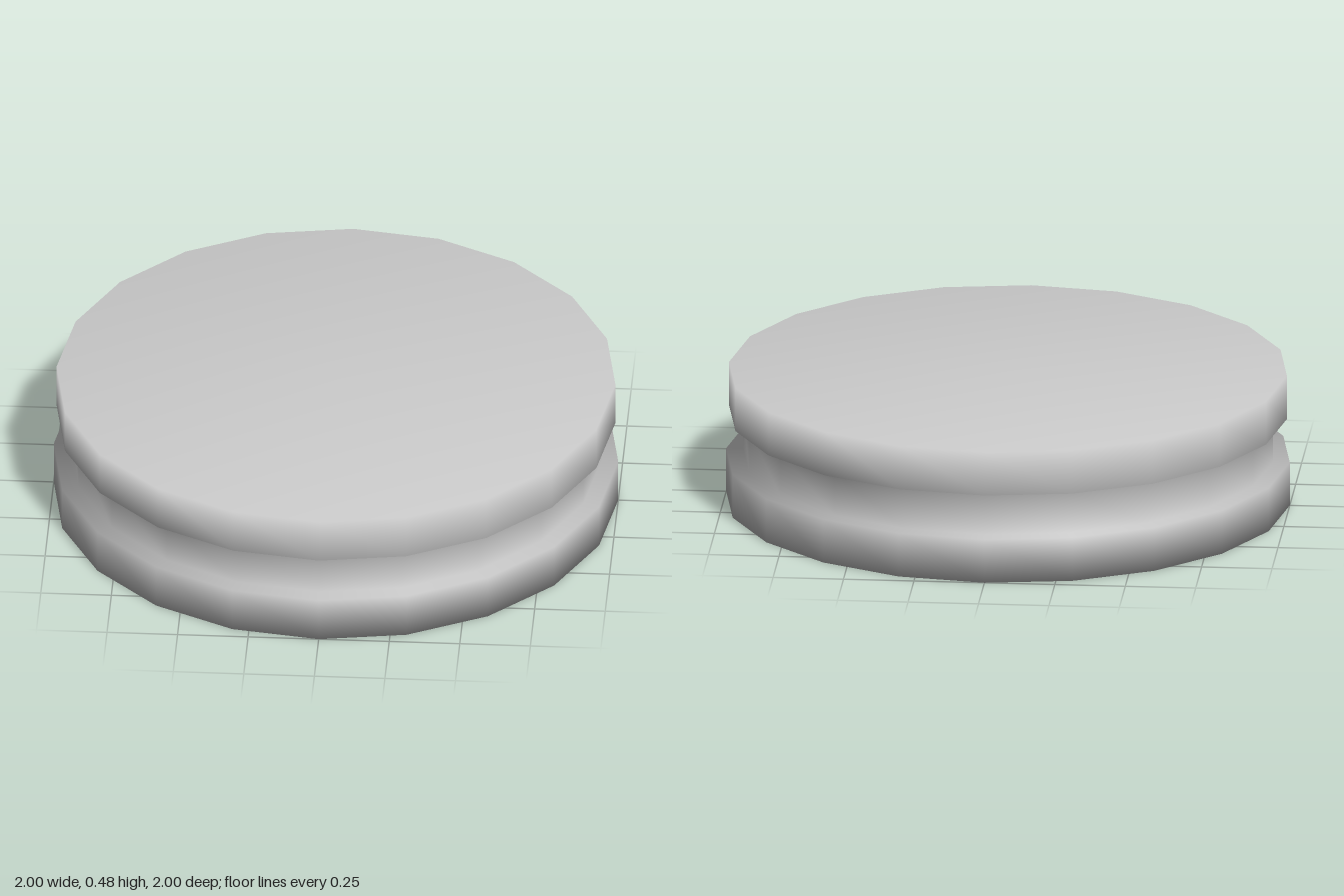
import * as THREE from 'three';

export function createModel() {
  const group = new THREE.Group();
  group.name = 'groovedDisc';

  // Half section from the bottom centre to the top centre: base, groove, top rim
  const profile = [
    [0, 0], [1, 0], [1, 0.16],
    [0.94, 0.16], [0.94, 0.32],
    [0.99, 0.32], [0.99, 0.48], [0, 0.48],
  ].map(([r, y]) => new THREE.Vector2(r, y));

  // Twenty-sided turned body with normals blended over its edges
  const body = new THREE.Mesh(
    new THREE.LatheGeometry(profile, 20),
    new THREE.MeshStandardMaterial({ color: 0xcccccc })
  );
  body.name = 'discBody';
  group.add(body);
  return group;
}
